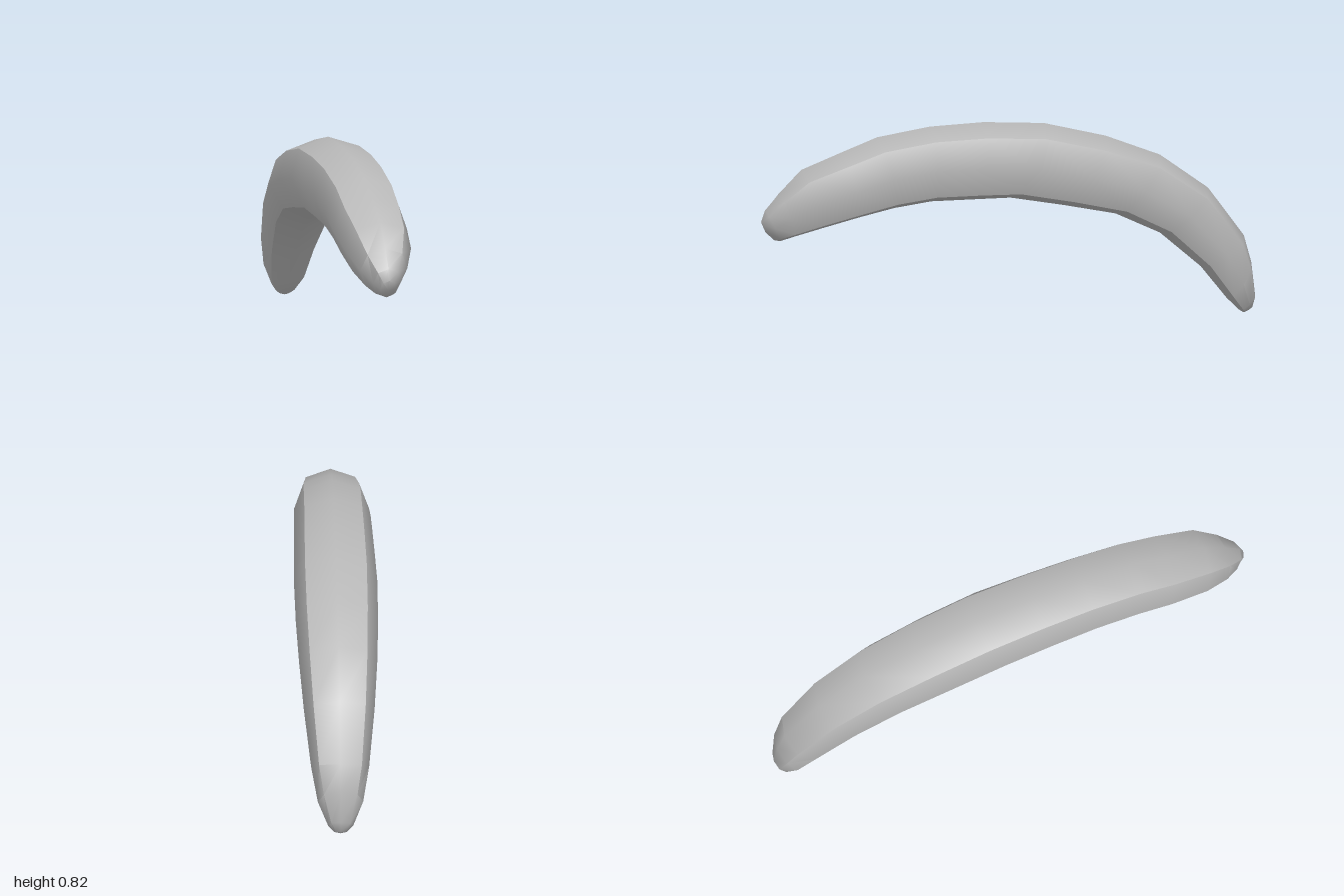
import * as THREE from 'three';
import { toCreasedNormals } from 'three/addons/utils/BufferGeometryUtils.js';

// Cross-sections from front to back: top z, top y, bottom z, bottom y, half width
const SECTIONS = [
  [1.0, 0.455, 0.945, 0.378, 0.03],
  [0.985, 0.5, 0.92, 0.375, 0.055],
  [0.925, 0.57, 0.865, 0.39, 0.095],
  [0.835, 0.66, 0.755, 0.418, 0.132],
  [0.675, 0.722, 0.605, 0.455, 0.148],
  [0.53, 0.777, 0.46, 0.487, 0.152],
  [0.317, 0.81, 0.31, 0.507, 0.155],
  [0.1, 0.818, 0.14, 0.507, 0.16],
  [-0.145, 0.803, -0.01, 0.507, 0.165],
  [-0.395, 0.74, -0.225, 0.467, 0.163],
  [-0.615, 0.653, -0.435, 0.423, 0.155],
  [-0.81, 0.51, -0.615, 0.337, 0.14],
  [-0.955, 0.31, -0.78, 0.193, 0.115],
  [-0.985, 0.2, -0.885, 0.06, 0.09],
  [-1.0, 0.07, -0.935, 0.01, 0.05],
  [-0.99, 0.025, -0.95, 0, 0.025],
];

// Eight-sided ring, starting at the top and turning towards +x
const K = 0.74;
const RING = [[0, 1], [K, K], [1, 0], [K, -K], [0, -1], [-K, -K], [-1, 0], [-K, K]];

function curvedBodyGeometry() {
  const positions = [];
  const index = [];
  const n = RING.length;
  for (const [zt, yt, zb, yb, w] of SECTIONS) {
    for (const [u, v] of RING) {
      const t = (v + 1) / 2;
      positions.push(u * w, THREE.MathUtils.lerp(yb, yt, t), THREE.MathUtils.lerp(zb, zt, t));
    }
  }

  // Skin between neighbouring rings
  const last = SECTIONS.length - 1;
  for (let i = 0; i < last; i++) {
    for (let j = 0; j < n; j++) {
      const k = (j + 1) % n;
      const a = i * n + j, b = i * n + k, c = b + n, d = a + n;
      index.push(a, b, c, a, c, d);
    }
  }

  // Closed tips
  const front = positions.length / 3;
  positions.push(0, 0.413, 0.982);
  const back = front + 1;
  positions.push(0, 0.008, -0.973);
  for (let j = 0; j < n; j++) {
    const k = (j + 1) % n;
    index.push(front, k, j, back, last * n + j, last * n + k);
  }

  const geometry = new THREE.BufferGeometry();
  geometry.setAttribute('position', new THREE.Float32BufferAttribute(positions, 3));
  geometry.setIndex(index);
  // Smooth across each broad side, sharp along the four long ridges
  return toCreasedNormals(geometry, THREE.MathUtils.degToRad(45));
}

export function createModel() {
  const grey = new THREE.MeshStandardMaterial({ color: 0xb8b8b8 });
  grey.name = 'light grey';

  const body = new THREE.Mesh(curvedBodyGeometry(), grey);
  body.name = 'curvedBody';

  const model = new THREE.Group();
  model.name = 'curvedFruit';
  model.add(body);
  return model;
}
